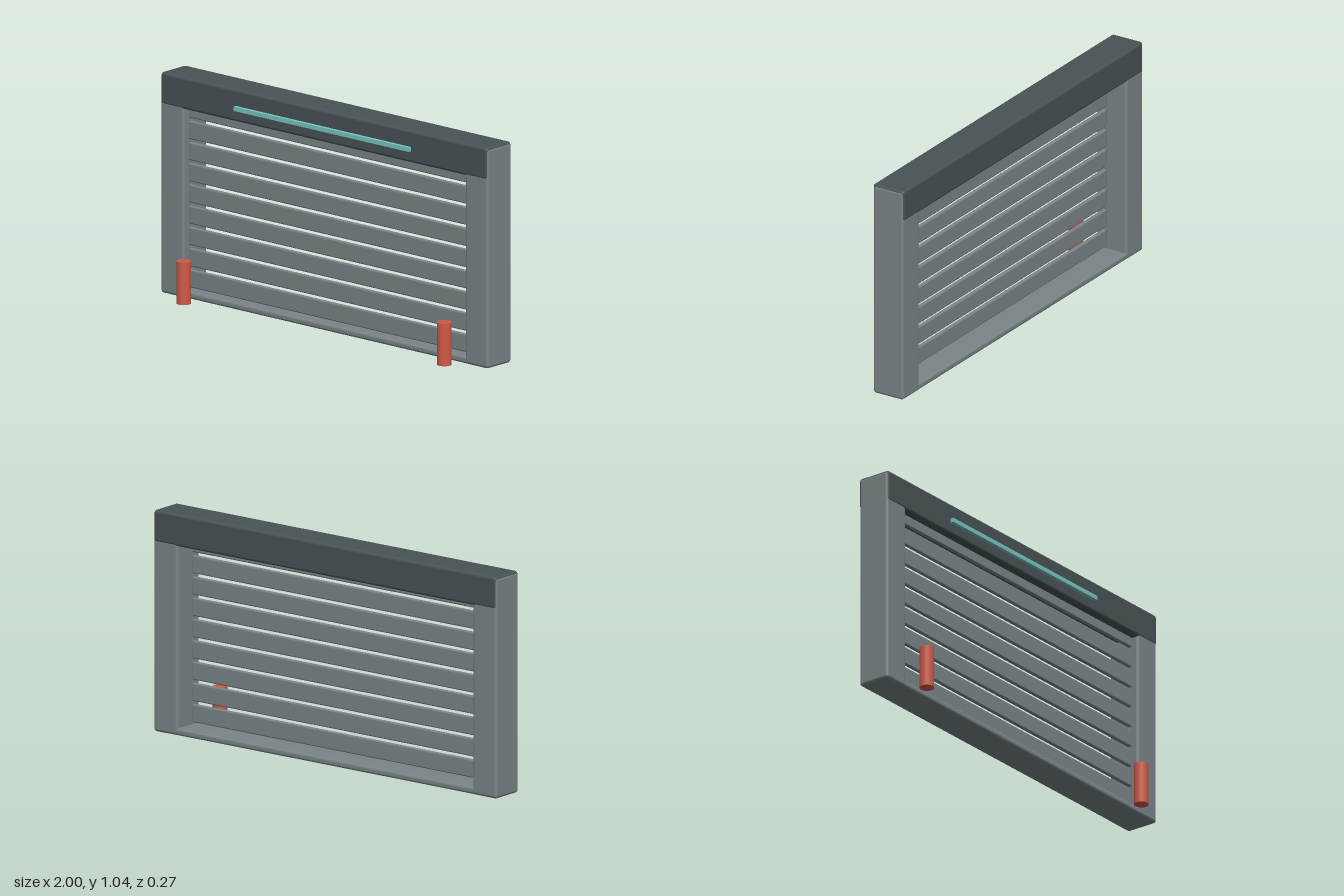
import * as THREE from 'three';
import { RoundedBoxGeometry } from 'three/addons/geometries/RoundedBoxGeometry.js';

const material = (name, color) => {
  const m = new THREE.MeshStandardMaterial({ color });
  m.name = name;
  return m;
};

export function createModel() {
  const group = new THREE.Group();
  const steel = material('steel grey', 0x7a8588);
  const dark = material('dark grey', 0x495356);
  const red = material('bollard red', 0xd05a47);
  const teal = material('light teal', 0x78c8c3);

  // Box given by its lower and upper corners; radius rounds the edges
  function box(name, mat, [x0, y0, z0], [x1, y1, z1], radius = 0) {
    const size = [x1 - x0, y1 - y0, z1 - z0];
    const geometry = radius
      ? new RoundedBoxGeometry(...size, 2, radius)
      : new THREE.BoxGeometry(...size);
    const mesh = new THREE.Mesh(geometry, mat);
    mesh.name = name;
    mesh.position.set((x0 + x1) / 2, (y0 + y1) / 2, (z0 + z1) / 2);
    group.add(mesh);
  }

  // Door frame: side posts, lintel slightly proud of them, and sill
  box('leftJamb', steel, [0.86, 0, -0.132], [1, 1.037, 0.032], 0.014);
  box('rightJamb', steel, [-1, 0, -0.132], [-0.86, 1.037, 0.032], 0.014);
  box('lintel', dark, [-0.998, 0.89, -0.134], [0.998, 1.042, 0.034], 0.014);
  box('sill', steel, [-0.985, 0.001, -0.131], [0.985, 0.034, 0.031], 0.012);

  // Roller shutter slats with open gaps between them
  for (let i = 0; i < 9; i++) {
    const y = 0.043 + i * 0.1;
    box('shutterSlat', steel, [-0.862, y, -0.024], [0.862, y + 0.085, -0.004], 0.007);
  }

  // Light strip on the lintel
  box('lightStrip', teal, [-0.535, 0.945, 0.033], [0.535, 0.965, 0.051]);

  // Bollards in front of the door
  for (const side of [-1, 1]) {
    const bollard = new THREE.Mesh(new THREE.CylinderGeometry(0.034, 0.034, 0.2, 24), red);
    bollard.name = side > 0 ? 'leftBollard' : 'rightBollard';
    bollard.position.set(side * 0.796, 0.1, 0.1);
    group.add(bollard);
  }
  return group;
}
